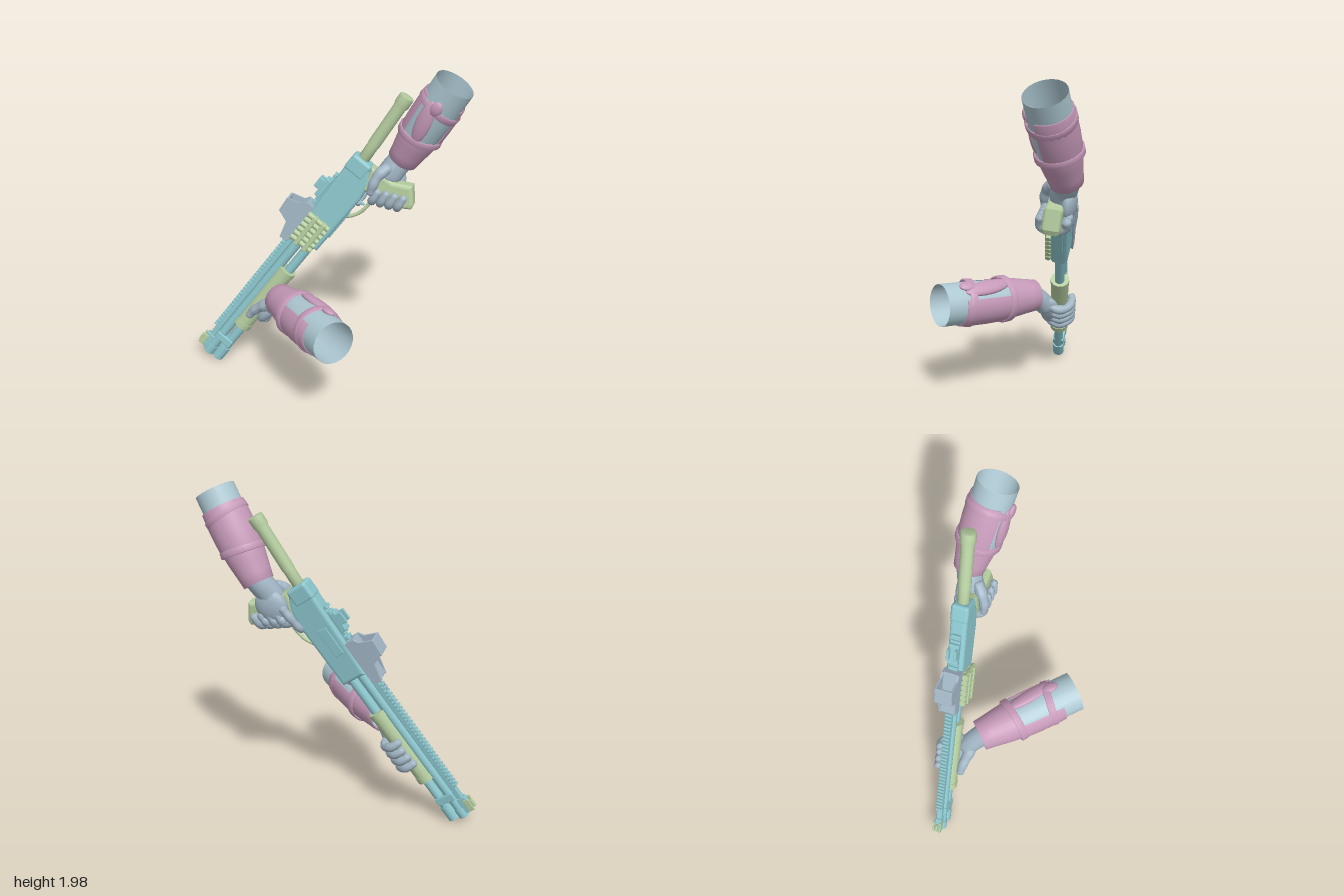
import * as THREE from 'three';
import { RoundedBoxGeometry } from 'three/addons/geometries/RoundedBoxGeometry.js';

const V = (x, y, z) => new THREE.Vector3(x, y, z);
const material = (name, color, side = THREE.FrontSide) => {
  const m = new THREE.MeshStandardMaterial({ color, side });
  m.name = name;
  return m;
};

export function createModel() {
  const root = new THREE.Group();
  root.name = 'armsHoldingShotgun';
  const teal = material('gunTeal', 0x8cc6cd);
  const green = material('furnitureGreen', 0xb5cda0);
  const glove = material('gloveGrey', 0xa2b6c5);
  const sleeveBlue = material('sleeveBlue', 0xafcad4, THREE.DoubleSide);
  const pink = material('bracerPink', 0xc79bba, THREE.DoubleSide);

  const add = (parent, name, geo, mat, x = 0, y = 0, z = 0) => {
    const mesh = new THREE.Mesh(geo, mat);
    mesh.name = name;
    mesh.position.set(x, y, z);
    parent.add(mesh);
    return mesh;
  };

  // A group whose local x, y, z follow the given axes
  const frame = (name, x, y, z, origin) => {
    const g = new THREE.Group();
    g.name = name;
    g.applyMatrix4(new THREE.Matrix4().makeBasis(x, y, z).setPosition(origin));
    root.add(g);
    return g;
  };

  // Gun frame: x runs from muzzle to stock, y is the sight side, z the loading side
  const u = V(0.52, 0.813, -0.26).normalize();
  const w = V(0.293, 0.117, 0.949);
  const v = w.clone().cross(u).normalize();
  w.crossVectors(u, v);
  const gun = frame('shotgun', u, v, w, V(-0.7, 0.06, 0.16));

  const box = (name, mat, x0, x1, y0, y1, width, z = 0, r = 0.006) =>
    add(gun, name, new RoundedBoxGeometry(x1 - x0, y1 - y0, width, 2, r), mat, (x0 + x1) / 2, (y0 + y1) / 2, z);
  const rod = (name, mat, x0, x1, y, r0, r1 = r0, sides = 20) =>
    add(gun, name, new THREE.CylinderGeometry(r0, r1, x1 - x0, sides).rotateZ(Math.PI / 2), mat, (x0 + x1) / 2, y, 0);
  const slab = (name, mat, pts, half, bevel, z = 0) => {
    const geo = new THREE.ExtrudeGeometry(new THREE.Shape(pts.map(p => new THREE.Vector2(...p))), {
      depth: 2 * (half - bevel), bevelEnabled: bevel > 0, bevelSize: bevel, bevelThickness: bevel,
      bevelOffset: -bevel, bevelSegments: 3,
    });
    return add(gun, name, geo.translate(0, 0, bevel - half), mat, 0, 0, z);
  };

  // Tapered tube with rounded ends, for fingers and hands
  const limb = (parent, name, mat, pts, r0, r1, bump = 0) => {
    const curve = new THREE.CatmullRomCurve3(pts.map(p => V(...p)));
    const n = 24, sides = 12, len = curve.getLength();
    const geo = new THREE.TubeGeometry(curve, n, 1, sides);
    const pos = geo.attributes.position, p = V(), c = V();
    for (let i = 0; i <= n; i++) {
      const t = i / n;
      let r = THREE.MathUtils.lerp(r0, r1, t) * (1 + bump * Math.cos(t * Math.PI * 6));
      const edge = Math.min(t * len / r0, (1 - t) * len / r1, 1);
      r *= Math.sqrt(Math.max(1 - (1 - edge) ** 2, 0.0001));
      curve.getPointAt(t, c);
      for (let j = 0; j <= sides; j++) {
        const k = i * (sides + 1) + j;
        p.fromBufferAttribute(pos, k).sub(c).multiplyScalar(r).add(c);
        pos.setXYZ(k, p.x, p.y, p.z);
      }
    }
    geo.computeVertexNormals();
    return add(parent, name, geo, mat);
  };
  const blob = (parent, name, mat, x, y, z, a, b, c) =>
    add(parent, name, new THREE.SphereGeometry(1, 20, 14).scale(a, b, c), mat, x, y, z);

  // Barrel, magazine tube and muzzle fittings
  rod('barrel', teal, 0, 1.12, 0, 0.03);
  rod('muzzleCollar', teal, 0.0, 0.06, 0, 0.035);
  rod('magazineTube', teal, 0.05, 1.12, -0.068, 0.029);
  rod('magazineCap', teal, 0.01, 0.11, -0.068, 0.036);
  box('barrelClamp', teal, 0.13, 0.18, -0.09, 0.03, 0.07);
  box('frontSightBase', teal, 0.015, 0.12, 0.02, 0.078, 0.04);
  box('frontSightBlade', green, 0.03, 0.08, 0.07, 0.1, 0.016, 0, 0.004);
  for (const s of [-1, 1]) box('frontSightWing', green, 0.02, 0.1, 0.055, 0.093, 0.01, s * 0.022, 0.003);

  // Ventilated rib with serrations
  box('rib', teal, 0.1, 1.08, 0.03, 0.066, 0.035);
  for (let x = 0.2; x < 1.0; x += 0.026) box('ribTooth', teal, x, x + 0.015, 0.06, 0.083, 0.042, 0, 0.003);

  // Receiver
  slab('receiver', teal, [[1.07, -0.118], [1.5, -0.122], [1.61, -0.105], [1.69, -0.05], [1.69, 0.06],
    [1.62, 0.072], [1.3, 0.06], [1.07, 0.045]], 0.05, 0.02);
  box('receiverRearCap', teal, 1.59, 1.7, -0.06, 0.075, 0.106, 0, 0.02);
  box('ejectionPort', teal, 1.24, 1.42, -0.04, 0.02, 0.012, -0.048, 0.004);
  box('loadingGate', teal, 1.18, 1.38, -0.128, -0.11, 0.05);

  // Top rail and rear sight
  box('topRail', teal, 1.0, 1.52, 0.045, 0.075, 0.05);
  for (let x = 1.29; x < 1.52; x += 0.035) box('railTooth', teal, x, x + 0.02, 0.07, 0.088, 0.056, 0, 0.003);
  box('rearSightBase', teal, 1.34, 1.47, 0.07, 0.108, 0.06);
  for (const s of [-1, 1]) box('rearSightEar', teal, 1.38, 1.45, 0.1, 0.142, 0.014, s * 0.023, 0.004);

  // Reflex sight with an open hood
  box('opticBase', glove, 1.0, 1.28, 0.055, 0.112, 0.1);
  for (const s of [-1, 1]) slab('opticSide', glove, [[1.0, 0.055], [0.995, 0.108], [1.1, 0.135], [1.125, 0.198],
    [1.225, 0.215], [1.25, 0.135], [1.28, 0.115], [1.28, 0.055]], 0.006, 0, s * 0.048);
  box('opticHoodTop', glove, 1.125, 1.228, 0.198, 0.214, 0.106, 0, 0.005).rotation.z = 0.08;

  // Pump handle with end bands
  rod('pumpHandle', green, 0.32, 0.83, -0.06, 0.054, 0.054, 12);
  for (const x of [0.315, 0.79]) rod('pumpBand', green, x, x + 0.04, -0.06, 0.058, 0.058, 12);

  // Spare shells across the side of the receiver
  box('shellPlate', green, 1.04, 1.25, -0.08, 0.045, 0.02, 0.05);
  for (let i = 0; i < 6; i++) {
    const x = 1.06 + i * 0.036;
    add(gun, 'shell', new THREE.CylinderGeometry(0.0165, 0.0165, 0.15, 12), green, x, -0.017, 0.07);
    add(gun, 'shellRim', new THREE.CylinderGeometry(0.019, 0.019, 0.02, 12), green, x, 0.05, 0.07);
  }
  for (const y of [-0.055, 0.008]) box('shellStrap', green, 1.035, 1.255, y - 0.014, y + 0.014, 0.045, 0.07);

  // Stock tube, grip and trigger guard
  const stock = add(gun, 'stockTube', new THREE.LatheGeometry(
    [[0, 0], [0.034, 0], [0.034, 0.12], [0.037, 0.13], [0.037, 0.39], [0.044, 0.41], [0.044, 0.46], [0.04, 0.468], [0, 0.468]]
      .map(p => new THREE.Vector2(...p)), 16), green, 1.67, 0.012, 0);
  stock.rotation.z = -Math.PI / 2 + 0.075;
  slab('pistolGrip', green, [[1.55, -0.09], [1.58, -0.18], [1.575, -0.27], [1.65, -0.38], [1.68, -0.375],
    [1.765, -0.3], [1.71, -0.2], [1.7, -0.05]], 0.05, 0.022);
  add(gun, 'triggerGuard', new THREE.TubeGeometry(new THREE.CatmullRomCurve3(
    [V(1.33, -0.1, 0), V(1.37, -0.14, 0), V(1.43, -0.17, 0), V(1.52, -0.175, 0), V(1.6, -0.15, 0)]), 20, 0.011, 8), green);
  box('trigger', teal, 1.47, 1.485, -0.16, -0.1, 0.014, 0, 0.004);

  // Firing hand wrapped round the grip
  const hand1 = new THREE.Group();
  hand1.name = 'firingHand';
  gun.add(hand1);
  limb(hand1, 'handHeel', glove, [[1.94, -0.16, -0.045], [1.82, -0.155, -0.04], [1.73, -0.155, -0.025], [1.65, -0.17, -0.03]], 0.07, 0.075);
  blob(hand1, 'palm', glove, 1.68, -0.175, -0.06, 0.105, 0.095, 0.045);
  for (let i = 0; i < 4; i++) {
    const y = -0.165 - i * 0.045, x = 0.022 * i;
    if (i < 3) blob(hand1, 'knuckle', glove, 1.585 + x, y, -0.075, 0.035, 0.027, 0.027);
    limb(hand1, 'finger', glove, [[1.67 + x / 2, y, -0.07], [1.57 + x, y - 0.005, -0.07], [1.535 + x, y - 0.01, 0],
      [1.56 + x, y - 0.01, 0.066], [1.64 + x, y, 0.068]], 0.028, 0.022, 0.08);
  }
  limb(hand1, 'triggerFinger', glove, [[1.66, -0.12, -0.075], [1.55, -0.115, -0.07], [1.48, -0.12, -0.045], [1.46, -0.125, 0.02]], 0.027, 0.018, 0.08);
  limb(hand1, 'thumb', glove, [[1.77, -0.13, 0.02], [1.7, -0.11, 0.065], [1.64, -0.12, 0.08], [1.57, -0.145, 0.072]], 0.038, 0.023, 0.06);

  // Supporting hand under the pump handle
  const hand2 = new THREE.Group();
  hand2.name = 'supportHand';
  gun.add(hand2);
  limb(hand2, 'handHeel', glove, [[0.8, -0.16, 0.26], [0.73, -0.14, 0.17], [0.65, -0.125, 0.1], [0.57, -0.13, 0.06]], 0.075, 0.06);
  blob(hand2, 'palm', glove, 0.57, -0.125, 0.05, 0.12, 0.045, 0.06);
  for (let i = 0; i < 4; i++) {
    const x = 0.47 + i * 0.052, d = 0.006 * (i % 3);
    limb(hand2, 'finger', glove, [[x + 0.015, -0.13, 0.06], [x, -0.148, 0], [x - 0.005, -0.125, -0.055],
      [x - 0.005, -0.06, -0.08], [x, -0.012 - d, -0.06]], 0.03, 0.024, 0.08);
  }
  limb(hand2, 'thumb', glove, [[0.66, -0.12, 0.12], [0.58, -0.085, 0.1], [0.51, -0.06, 0.082], [0.43, -0.055, 0.07]], 0.042, 0.024, 0.06);

  // Forearm: open sleeve under a bracer that is slit on one side
  const forearm = (name, wrist, end, openSide, R) => {
    const axis = end.clone().sub(wrist), L = axis.length();
    axis.normalize();
    const side = V(0, 0, 0).crossVectors(axis, openSide).normalize();
    const front = V(0, 0, 0).crossVectors(side, axis);
    const arm = frame(name, side, axis, front, wrist);
    const turn = (part, mat, pts, start = 0, sweep = Math.PI * 2) => add(arm, part, new THREE.LatheGeometry(
      pts.map(([r, y]) => new THREE.Vector2(r * R, y * L)), 24, start, sweep), mat);
    const gap = 1.9;
    turn('sleeve', sleeveBlue, [[0.62, 0.05], [0.86, 0.4], [0.9, 0.7], [0.9, 1]]);
    turn('bracerCuff', pink, [[0.62, 0.03], [0.7, 0.0], [0.76, 0.1], [0.87, 0.25], [0.93, 0.36], [0.89, 0.37]]);
    turn('bracerShell', pink, [[0.9, 0.33], [0.97, 0.4], [1, 0.55], [1, 0.7], [0.97, 0.82], [0.9, 0.82]], gap / 2, Math.PI * 2 - gap);
    // Straps across the slit
    for (const [y, tilt] of [[0.36, 0.12], [0.73, -0.16]]) {
      const strap = turn('strap', pink, [[0.96, -0.035], [1.03, -0.03], [1.03, 0.03], [0.96, 0.035]]);
      strap.position.y = y * L;
      strap.rotation.z = tilt;
    }
    // Curved tongue inside the slit
    const tongue = blob(arm, 'tongue', pink, -0.32 * R, 0.58 * L, 0.82 * R, 0.36 * R, 0.24 * L, 0.2 * R);
    tongue.rotation.set(0, -0.35, 0.15);
    const flap = blob(arm, 'tongueTip', pink, -0.22 * R, 0.78 * L, 0.92 * R, 0.26 * R, 0.08 * L, 0.14 * R);
    flap.rotation.y = -0.25;
    return arm;
  };
  forearm('firingForearm', V(0.365, 1.45, -0.385), V(0.645, 1.935, -0.4), V(0.35, -0.1, 0.9), 0.128);
  forearm('supportForearm', V(-0.18, 0.585, 0.09), V(0.39, 0.65, 0.405), V(0.05, 1, -0.2), 0.138);

  return root;
}
